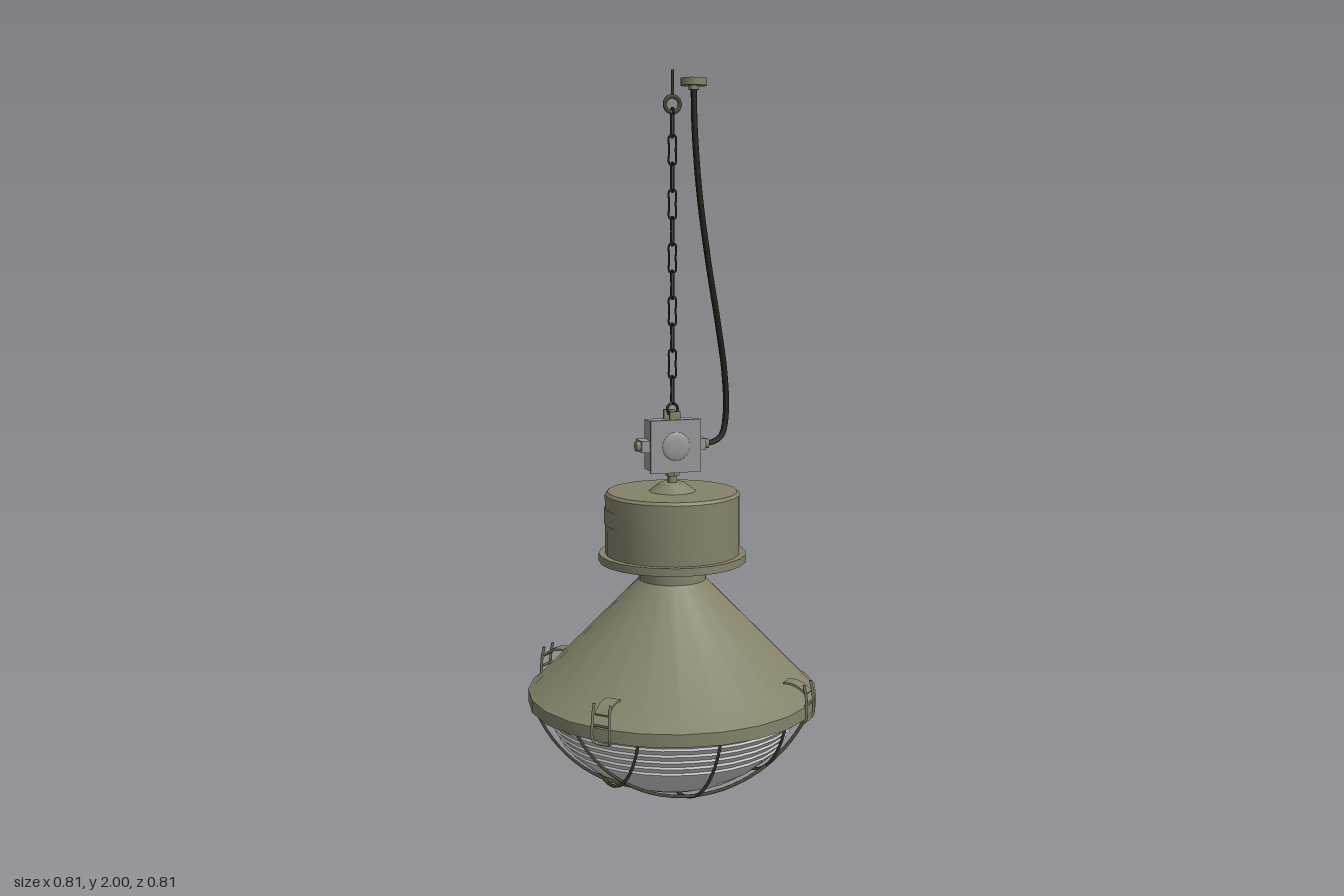
import * as THREE from 'three';
import { toCreasedNormals } from 'three/addons/utils/BufferGeometryUtils.js';

const V = (x, y, z) => new THREE.Vector3(x, y, z);

function material(name, color, side = THREE.FrontSide) {
  const m = new THREE.MeshStandardMaterial({ color, side });
  m.name = name;
  return m;
}

export function createModel() {
  const olive = material('olive paint', 0x84826a, THREE.DoubleSide);
  const darkOlive = material('dark olive wire', 0x4b4838);
  const grey = material('grey box', 0x98989a);
  const glass = material('frosted glass', 0xd2d2d3, THREE.DoubleSide);
  const steel = material('dark steel', 0x262628);
  const rubber = material('black rubber', 0x1c1c1a);

  const model = new THREE.Group();
  model.name = 'pendantLamp';

  function add(name, geo, mat, x = 0, y = 0, z = 0, parent = model) {
    const mesh = new THREE.Mesh(geo, mat);
    mesh.name = name;
    mesh.position.set(x, y, z);
    parent.add(mesh);
    return mesh;
  }
  // Profile listed as [radius, height] from bottom to top
  function lathe(name, profile, mat, sides = 24) {
    const geo = new THREE.LatheGeometry(profile.map(([r, y]) => new THREE.Vector2(r, y)), sides);
    return add(name, toCreasedNormals(geo, 0.5), mat);
  }
  function cyl(name, r1, r2, h, mat, x, y, z, parent, sides = 12) {
    return add(name, toCreasedNormals(new THREE.CylinderGeometry(r1, r2, h, sides), 0.6), mat, x, y, z, parent);
  }
  function wire(name, points, radius, mat, parent, closed = false, steps = 32) {
    const curve = new THREE.CatmullRomCurve3(points, closed, 'centripetal');
    return add(name, new THREE.TubeGeometry(curve, steps, radius, 6, closed), mat, 0, 0, 0, parent);
  }

  // Conical reflector with rim and neck
  lathe('reflector', [
    [0.37, 0.285], [0.37, 0.27], [0.405, 0.27], [0.405, 0.305], [0.396, 0.308],
    [0.094, 0.618], [0.094, 0.68],
  ], olive);

  // Gear housing with flange and stepped underside
  lathe('housing', [
    [0.09, 0.688], [0.12, 0.688], [0.12, 0.678], [0.15, 0.678], [0.15, 0.686], [0.175, 0.686],
    [0.175, 0.67], [0.205, 0.67], [0.205, 0.692], [0.187, 0.692], [0.187, 0.857],
    [0.18, 0.865], [0.065, 0.865], [0.035, 0.888], [0, 0.89],
  ], olive);
  add('housingPlate', new THREE.CylinderGeometry(0.189, 0.189, 0.045, 4, 1, true, Math.PI * 4 / 3, Math.PI / 3),
    olive, 0, 0.798, 0);

  // Glass bowl: smooth below, ribbed near the rim
  const bowl = [[0, 0.022], [0.07, 0.028], [0.14, 0.045], [0.2, 0.071], [0.25, 0.103], [0.299, 0.145]];
  const ribs = 6;
  for (let i = 0; i < ribs; i++) {
    const r = 0.299 + 0.012 * i, y = 0.145 + 0.021 * i;
    bowl.push([r + 0.014, y + 0.015], [r + 0.012, y + 0.021]);
  }
  lathe('glassBowl', bowl, glass, 32);

  // Wire guard: arcs cut from a spherical cap in parallel planes
  const guard = new THREE.Group();
  guard.name = 'wireGuard';
  model.add(guard);
  const R = 0.422, rimR = 0.392;
  for (const offset of [-0.205, 0, 0.205]) {
    const half = Math.sqrt(rimR * rimR - offset * offset);
    const arc = [];
    for (let i = 0; i <= 16; i++) {
      const t = half * Math.sin((i / 16 - 0.5) * Math.PI);
      arc.push(V(t, 0.006 + R - Math.sqrt(R * R - t * t - offset * offset), offset));
    }
    wire('guardWire', arc, 0.0046, darkOlive, guard);
    wire('guardWire', arc.map(p => V(p.z, p.y, p.x)), 0.0046, darkOlive, guard);
  }

  // Four rim clips: curved lever between the arms of a wire loop
  for (let i = 0; i < 4; i++) {
    const clip = new THREE.Group();
    clip.name = 'rimClip';
    clip.rotation.y = Math.PI / 4 + i * Math.PI / 2;
    model.add(clip);
    const bend = new THREE.BoxGeometry(0.04, 0.006, 0.07, 1, 1, 6);
    const pos = bend.attributes.position;
    for (let k = 0; k < pos.count; k++) pos.setY(k, pos.getY(k) - 7 * pos.getZ(k) ** 2);
    bend.computeVertexNormals();
    add('clipLever', bend, olive, 0, 0.364, 0.38, clip).rotation.x = 0.35;
    wire('clipLoop', [
      V(-0.024, 0.372, 0.406), V(-0.025, 0.33, 0.414), V(-0.025, 0.275, 0.413), V(-0.02, 0.266, 0.405),
      V(0.02, 0.266, 0.405), V(0.025, 0.275, 0.413), V(0.025, 0.33, 0.414), V(0.024, 0.372, 0.406),
    ], 0.004, olive, clip, false, 40);
    cyl('clipPin', 0.004, 0.004, 0.05, olive, 0, 0.315, 0.411, clip, 8).rotation.z = Math.PI / 2;
  }

  // Junction box with cover, shallow dome and glands
  const box = new THREE.Group();
  box.name = 'junctionBox';
  model.add(box);
  add('boxBody', new THREE.BoxGeometry(0.134, 0.138, 0.066), grey, 0, 0.993, -0.009, box);
  add('boxCover', new THREE.BoxGeometry(0.144, 0.146, 0.01), grey, 0, 0.993, 0.028, box);
  add('coverDome', new THREE.SphereGeometry(0.04, 20, 12), grey, 0, 0.993, 0.032, box).scale.z = 0.18;
  add('sideBoss', new THREE.BoxGeometry(0.186, 0.032, 0.056), grey, 0, 0.993, -0.011, box);
  for (const s of [-1, 1]) {
    cyl('sideGland', 0.014, 0.014, 0.014, olive, s * 0.098, 0.993, -0.003, box).rotation.z = Math.PI / 2;
    add('topLug', new THREE.BoxGeometry(0.03, 0.026, 0.009), olive, 0, 1.075, -0.005 + s * 0.026, box);
  }
  cyl('lugPin', 0.006, 0.006, 0.06, olive, 0, 1.078, -0.005, box, 8).rotation.x = Math.PI / 2;
  cyl('stem', 0.013, 0.013, 0.04, olive, 0, 0.905, 0, box);
  cyl('stemNut', 0.02, 0.02, 0.014, olive, 0, 0.915, 0, box, 6);
  add('topEye', new THREE.TorusGeometry(0.015, 0.004, 6, 14), steel, 0, 1.093, 0, box);

  // Chain of alternating links
  const chain = new THREE.Group();
  chain.name = 'chain';
  model.add(chain);
  const w = 0.0095, h = 0.038, c = 0.003;
  const linkPoints = [
    V(w, -h + c, 0), V(w, 0, 0), V(w, h - c, 0), V(w - c, h, 0), V(-w + c, h, 0),
    V(-w, h - c, 0), V(-w, 0, 0), V(-w, -h + c, 0), V(-w + c, -h, 0), V(w - c, -h, 0),
  ];
  for (let i = 0; i < 11; i++) {
    const link = wire('chainLink', linkPoints, 0.0028, steel, chain, true, 48);
    link.position.y = 1.862 - 0.0717 * i;
    link.rotation.y = i % 2 ? 0 : Math.PI / 2;
  }

  // Ceiling hook
  add('hookEye', new THREE.TorusGeometry(0.021, 0.006, 8, 20), darkOlive, 0, 1.91, 0);
  cyl('hookStem', 0.004, 0.004, 0.07, darkOlive, 0, 1.965, 0, model, 8);

  // Power cable and ceiling cap
  wire('cable', [
    V(0.06, 1.965, 0), V(0.063, 1.85, 0), V(0.078, 1.68, -0.003), V(0.105, 1.5, -0.008),
    V(0.138, 1.32, -0.015), V(0.16, 1.18, -0.02), V(0.163, 1.07, -0.017),
    V(0.148, 1.012, -0.01), V(0.12, 0.995, -0.004), V(0.085, 0.993, -0.003),
  ], 0.0085, rubber, model, false, 60);
  cyl('ceilingCap', 0.036, 0.036, 0.02, olive, 0.06, 1.97, 0, model, 12);
  cyl('capCollar', 0.014, 0.014, 0.012, olive, 0.06, 1.955, 0, model, 12);

  return model;
}
